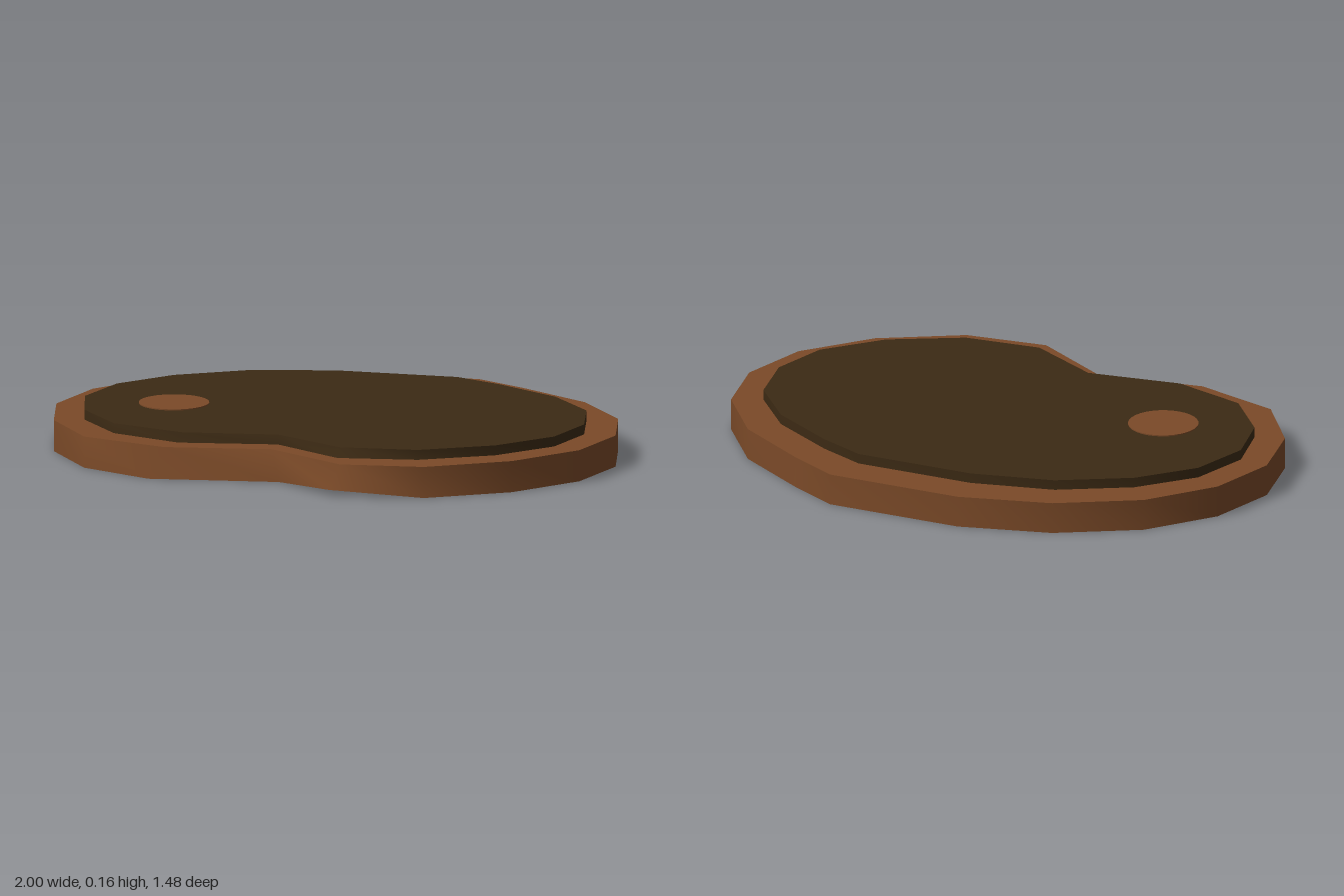
import * as THREE from 'three';
import { mergeGeometries } from 'three/addons/utils/BufferGeometryUtils.js';

// Closed slab between two matching loops of [x, y, z] points:
// smooth rim, flat top and bottom.
function slab(bottom, top) {
  const n = top.length;
  const rim = new THREE.BufferGeometry();
  rim.setAttribute('position', new THREE.Float32BufferAttribute([...bottom, ...top].flat(), 3));
  const index = [];
  for (let i = 0; i < n; i++) {
    const j = (i + 1) % n;
    index.push(i, n + i, n + j, i, n + j, j);
  }
  rim.setIndex(index);
  rim.computeVertexNormals();
  return mergeGeometries([rim.toNonIndexed(), cap(top, true), cap(bottom, false)]);
}

// Fills a loop with triangles facing up or down.
function cap(loop, up) {
  const flat = loop.map(([x, , z]) => new THREE.Vector2(x, z));
  const pos = [];
  for (const [a, b, c] of THREE.ShapeUtils.triangulateShape(flat.slice(), [])) {
    const area = flat[b].clone().sub(flat[a]).cross(flat[c].clone().sub(flat[a]));
    const order = (area < 0) === up ? [a, b, c] : [a, c, b];
    order.forEach((k) => pos.push(...loop[k]));
  }
  const geo = new THREE.BufferGeometry();
  geo.setAttribute('position', new THREE.Float32BufferAttribute(pos, 3));
  geo.computeVertexNormals();
  return geo;
}

// Loop at height y, with some points replaced by their own [x, y, z].
const loopAt = (outline, y, moved = {}) => outline.map(([x, z], i) => moved[i] ?? [x, y, z]);

export function createModel() {
  const group = new THREE.Group();
  const add = (name, geometry, color) => {
    const mesh = new THREE.Mesh(geometry, new THREE.MeshStandardMaterial({ color }));
    mesh.name = name;
    group.add(mesh);
    return mesh;
  };
  const wood = 0x7b4a28, dark = 0x3c2a14;

  // Kidney outlines [x, z], from the back round by the left side
  const outer = [
    [-0.18, -0.74], [0.31, -0.745], [0.49, -0.65], [0.76, -0.48], [0.94, -0.25], [1, 0.01],
    [0.94, 0.27], [0.76, 0.5], [0.49, 0.67], [0.2, 0.705], [-0.09, 0.53], [-0.46, 0.592],
    [-0.77, 0.5], [-0.94, 0.27], [-1, 0.01], [-0.94, -0.25], [-0.77, -0.48], [-0.5, -0.65],
  ];
  const inner = [
    [-0.16, -0.6], [0.27, -0.605], [0.44, -0.53], [0.68, -0.385], [0.84, -0.2], [0.89, 0.02],
    [0.84, 0.235], [0.68, 0.425], [0.44, 0.565], [0.17, 0.592], [-0.09, 0.45], [-0.42, 0.5],
    [-0.685, 0.42], [-0.84, 0.235], [-0.895, 0.02], [-0.84, -0.2], [-0.685, -0.385], [-0.45, -0.53],
  ];

  // Body, its lower edge flaring out around the notch
  add('body', slab(
    loopAt(outer, 0, { 9: [0.17, 0.025, 0.738], 10: [-0.06, 0, 0.55], 11: [-0.51, 0, 0.615] }),
    loopAt(outer, 0.11)), wood);

  // Raised dark panel
  add('topPanel', slab(
    loopAt(inner, 0.108, { 9: [0.165, 0.108, 0.608], 11: [-0.43, 0.108, 0.51] }),
    loopAt(inner, 0.145)), dark);

  // Thin round disc hovering above the panel
  const disc = add('disc', new THREE.CylinderGeometry(0.122, 0.122, 0.004, 32), wood);
  disc.position.set(-0.555, 0.158, 0.1);

  return group;
}
